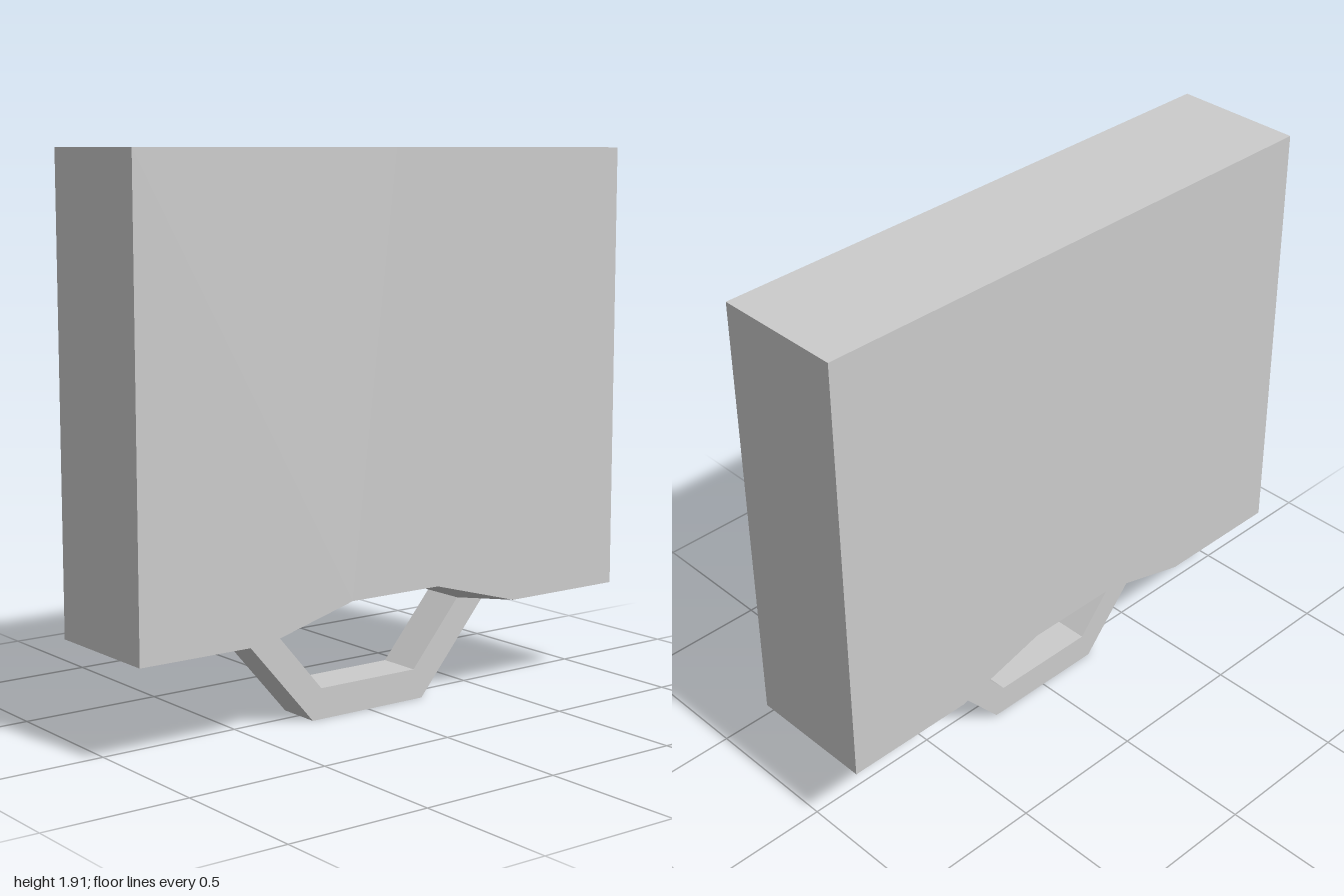
import * as THREE from 'three';

const TOP = 1.907, BASE = 0.336, ROOF = 0.431; // case top, underside, recess roof
const DEPTH = 0.23, GRIP = 0.08;               // half depths of case and handle

// Slab with a faceted hand recess underneath: one quarter, mirrored in x and z
function caseGeometry() {
  const A = [0.527, BASE, DEPTH], B = [0.182, ROOF, DEPTH], C = [0.397, BASE, GRIP];
  const B0 = [0.182, ROOF, 0], C0 = [0.397, BASE, 0];
  const faces = [
    [B, A, [1, BASE, DEPTH], [1, TOP, DEPTH], [0, TOP, DEPTH], [0, ROOF, DEPTH]], // broad face
    [[1, BASE, DEPTH], [1, BASE, 0], [1, TOP, 0], [1, TOP, DEPTH]],               // end
    [[0, TOP, 0], [0, TOP, DEPTH], [1, TOP, DEPTH], [1, TOP, 0]],                 // top
    [C0, [1, BASE, 0], [1, BASE, DEPTH], A, C],                                   // underside
    [[0, ROOF, 0], B0, B, [0, ROOF, DEPTH]],                                      // recess roof
    [C0, C, B, B0],                                                               // recess slope
    [C, A, B],                                                                    // recess corner
  ];
  const positions = [];
  for (const sx of [1, -1]) for (const sz of [1, -1]) {
    for (const face of faces) {
      const p = face.map(([x, y, z]) => [x * sx, y, z * sz]);
      for (let i = 1; i < p.length - 1; i++) {
        const tri = sx * sz > 0 ? [p[0], p[i], p[i + 1]] : [p[0], p[i + 1], p[i]];
        positions.push(...tri.flat());
      }
    }
  }
  const geometry = new THREE.BufferGeometry();
  geometry.setAttribute('position', new THREE.Float32BufferAttribute(positions, 3));
  geometry.computeVertexNormals();
  return geometry;
}

// Angular carrying loop, extruded through its thickness
function handleGeometry() {
  const half = [[0.527, BASE], [0.397, BASE], [0.2, 0.107], [0.236, 0]];
  const [outerTop, innerTop, innerLow, outerLow] = half;
  const mirror = ([x, y]) => [-x, y];
  const outline = [outerLow, outerTop, innerTop, innerLow,
    mirror(innerLow), mirror(innerTop), mirror(outerTop), mirror(outerLow)];
  const shape = new THREE.Shape(outline.map(([x, y]) => new THREE.Vector2(x, y)));
  return new THREE.ExtrudeGeometry(shape, { depth: GRIP * 2, bevelEnabled: false })
    .translate(0, 0, -GRIP);
}

export function createModel() {
  const group = new THREE.Group();
  const material = new THREE.MeshStandardMaterial({ color: 0xcccccc, flatShading: true });
  const add = (name, geometry) => {
    const mesh = new THREE.Mesh(geometry, material);
    mesh.name = name;
    group.add(mesh);
  };
  add('caseBody', caseGeometry());
  add('handle', handleGeometry());
  return group;
}
